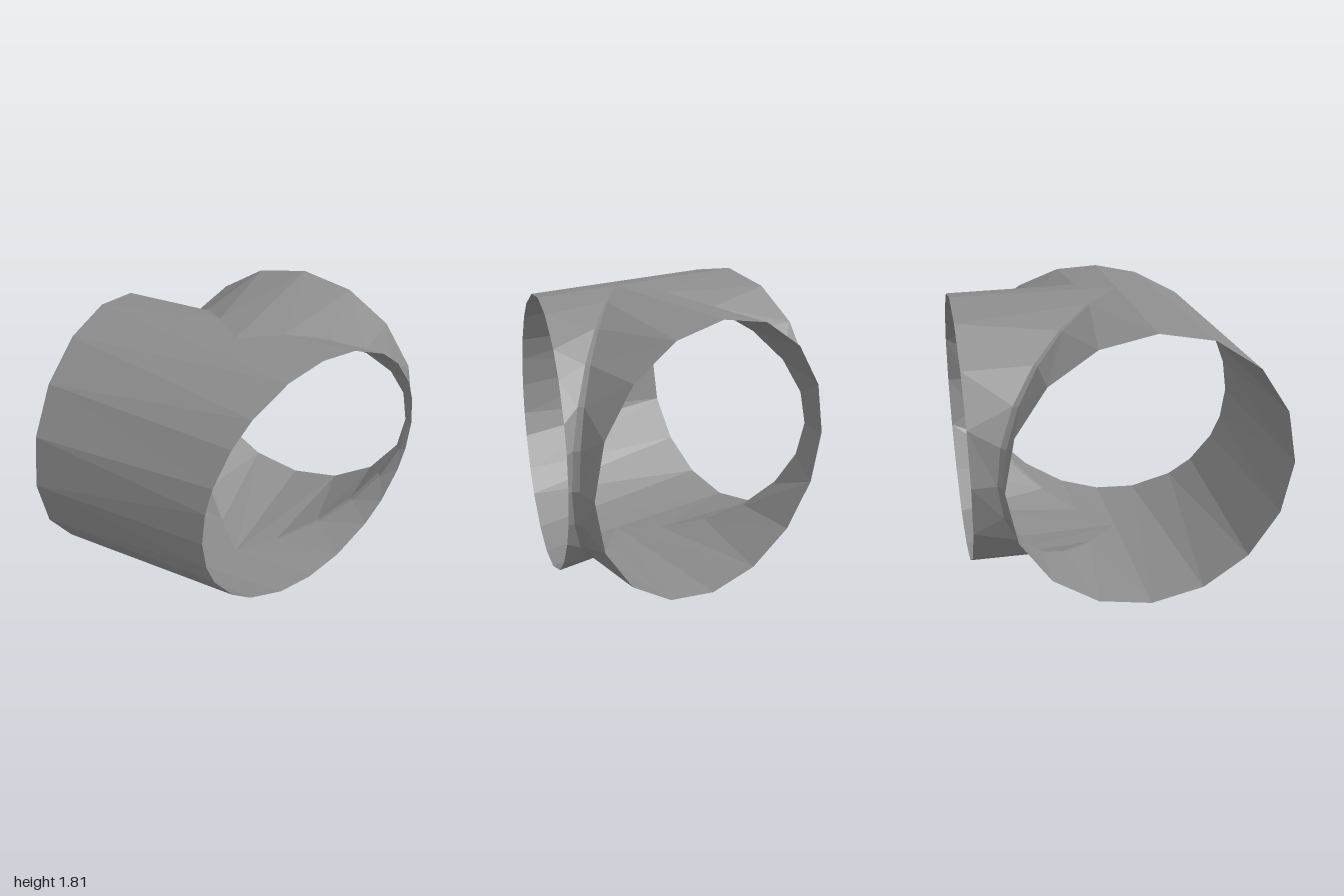
import * as THREE from 'three';

const R = 0.907;              // radius of both pipes
const CX = 0.02, CZ = 0.093;  // branch axis x, main axis z
const LEFT = -0.985, BACK = -1;
const BLEND = 1.035;          // how far the softened seam spreads onto each pipe

const steps = (n) => Array.from({ length: n + 1 }, (_, i) => (180 * i) / n);
const coarse = steps(8), medium = steps(12);
const cutHalf = [0, 17, 36, 49, 65, 76, 90];
const cutAngles = [...cutHalf, ...cutHalf.slice(0, -1).reverse().map((a) => 180 - a)];

// Angles run in degrees from the top of the pipe to the bottom
const height = (a) => R + R * Math.cos(THREE.MathUtils.degToRad(a));
const reach = (a) => R * Math.sin(THREE.MathUtils.degToRad(a));

// Edge curves: s = +1 / -1 picks the side of the pipe
const openEnd = (s) => (a) => [LEFT, height(a), CZ + s * reach(a)];
const slantEnd = (s) => (a) => {
  const z = CZ + s * reach(a);
  return [0.26 + 0.398 * (1 - z), height(a), z];
};
const mainSeam = (s) => (a) => [CX + s * BLEND * reach(a), height(a), CZ - reach(a)];
const branchSeam = (s) => (a) => [CX + s * reach(a), height(a), CZ - BLEND * reach(a)];
const branchEnd = (s) => (a) => [CX + s * reach(a), height(a), BACK];

const material = new THREE.MeshStandardMaterial({
  color: 0x8c8c8c, flatShading: true, side: THREE.DoubleSide,
});

// Triangle strip between two edges that may have different divisions
function skin(name, edgeA, anglesA, edgeB, anglesB, flip) {
  const pos = [];
  const tri = (p, q, r) => pos.push(...p, ...(flip ? r : q), ...(flip ? q : r));
  let i = 0, j = 0;
  while (i < anglesA.length - 1 || j < anglesB.length - 1) {
    const nextA = anglesA[i + 1] ?? Infinity, nextB = anglesB[j + 1] ?? Infinity;
    const a = edgeA(anglesA[i]), b = edgeB(anglesB[j]);
    if (nextA <= nextB) tri(a, edgeA(anglesA[++i]), b);
    else tri(a, edgeB(anglesB[++j]), b);
  }
  const geo = new THREE.BufferGeometry();
  geo.setAttribute('position', new THREE.Float32BufferAttribute(pos, 3));
  geo.computeVertexNormals();
  const mesh = new THREE.Mesh(geo, material);
  mesh.name = name;
  return mesh;
}

export function createModel() {
  const model = new THREE.Group();
  model.name = 'pipeJunction';

  // Main pipe: whole front half, back half split by the branch
  const mainPipe = new THREE.Group();
  mainPipe.name = 'mainPipe';
  mainPipe.add(
    skin('mainPipeFront', openEnd(1), coarse, slantEnd(1), cutAngles, false),
    skin('mainPipeBackRight', openEnd(-1), coarse, mainSeam(-1), medium, true),
    skin('mainPipeBackLeft', mainSeam(1), medium, slantEnd(-1), cutAngles, true),
  );

  // Branch pipe: mirrored halves, each with a narrow blend strip at the seam
  const branch = new THREE.Group();
  branch.name = 'branchPipe';
  for (const s of [1, -1]) {
    const side = s > 0 ? 'Left' : 'Right';
    branch.add(
      skin(`seamBlend${side}`, mainSeam(s), medium, branchSeam(s), medium, s < 0),
      skin(`branch${side}`, branchSeam(s), medium, branchEnd(s), coarse, s < 0),
    );
  }

  model.add(mainPipe, branch);
  return model;
}
